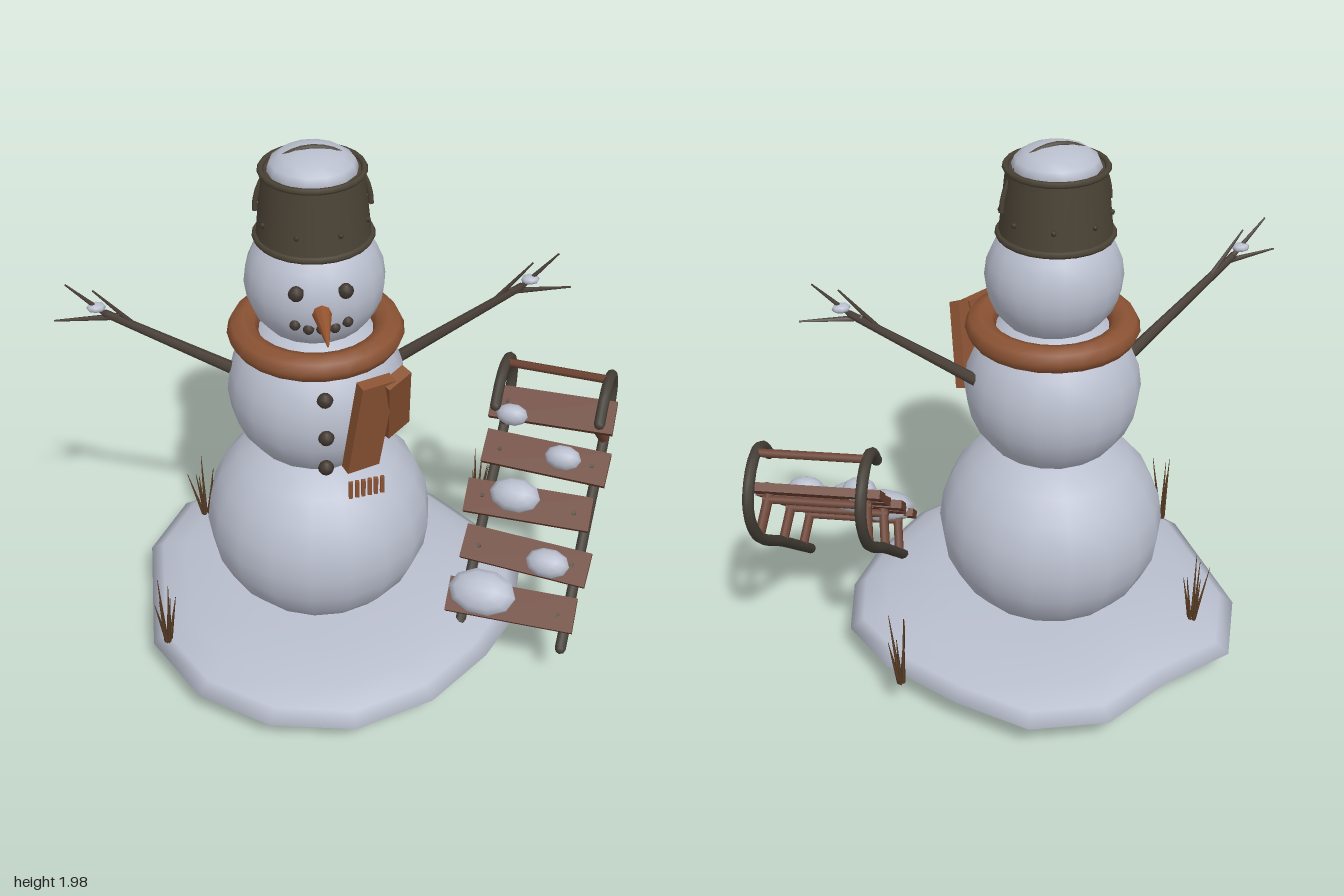
import * as THREE from 'three';

const mat = (name, color) => Object.assign(new THREE.MeshStandardMaterial({ color }), { name });
const V = (x, y, z) => new THREE.Vector3(x, y, z);
const CX = -0.13, CZ = -0.02; // axis of the figure

export function createModel() {
  const root = new THREE.Group();
  root.name = 'snowman';
  const snow = mat('snow', 0xb9becd), iron = mat('bucketIron', 0x4a4235), scarfCloth = mat('scarfCloth', 0x8a5233);
  const wood = mat('plankWood', 0x6a4030), bark = mat('bark', 0x4a4038), coal = mat('coal', 0x40362f);
  const carrot = mat('carrot', 0x96542f), dryGrass = mat('dryGrass', 0x5a3e26), runnerWood = mat('runner', 0x443e36);

  const add = (parent, name, geo, material, x = 0, y = 0, z = 0) => {
    const m = new THREE.Mesh(geo, material);
    m.name = name;
    m.position.set(x, y, z);
    parent.add(m);
    return m;
  };
  const ball = (parent, name, material, x, y, z, rx, ry = rx, rz = rx, w = 18, h = 12) => {
    const m = add(parent, name, new THREE.SphereGeometry(1, w, h), material, x, y, z);
    m.scale.set(rx, ry, rz);
    return m;
  };
  // tapered rod between two points
  const rod = (parent, name, material, a, b, ra, rb, sides = 6) => {
    const dir = b.clone().sub(a);
    const m = add(parent, name, new THREE.CylinderGeometry(rb, ra, dir.length(), sides), material);
    m.position.copy(a).add(b).multiplyScalar(0.5);
    m.quaternion.setFromUnitVectors(V(0, 1, 0), dir.normalize());
    return m;
  };

  // snow mound: one outline scaled into rings
  const outline = [[-.085, -.757], [.19, -.70], [.39, -.49], [.57, -.23], [.645, .02], [.57, .27], [.43, .45], [.2, .645],
    [-.085, .745], [-.38, .69], [-.62, .52], [-.775, .24], [-.775, -.30], [-.63, -.565], [-.34, -.64]];
  const rings = [[0.001, 0], [.4, .008], [.72, .045], [.93, .09], [1, .13], [.93, .165], [.8, .2], [.55, .232], [0.001, .24]];
  const n = outline.length, pos = [], idx = [];
  rings.forEach(([s, y], r) => outline.forEach(([x, z], i) => {
    pos.push(-.09 + (x + .09) * s, y, z * s);
    if (r < rings.length - 1) {
      const a = r * n + i, b = r * n + (i + 1) % n;
      idx.push(a, a + n, b, b, a + n, b + n);
    }
  }));
  const mound = new THREE.BufferGeometry();
  mound.setAttribute('position', new THREE.Float32BufferAttribute(pos, 3));
  mound.setIndex(idx);
  mound.computeVertexNormals();
  add(root, 'snowMound', mound, snow);

  // body
  ball(root, 'lowerBody', snow, CX, .5, CZ, .412, .385, .415);
  ball(root, 'middleBody', snow, CX, 1.07, CZ, .312, .305, .312);
  ball(root, 'head', snow, CX, 1.5, CZ, .238, .23, .23);

  // face and buttons
  const onHead = (name, x, y, r) => {
    const z = CZ + Math.sqrt(.23 ** 2 - (x - CX) ** 2 - (y - 1.5) ** 2);
    ball(root, name, coal, x, y, z, r, r, r * .8, 8, 6);
  };
  for (const s of [-1, 1]) onHead('eye', CX + s * .08, 1.56, .027);
  for (let i = -2; i <= 2; i++) onHead('mouthCoal', CX + i * .043, 1.428 + (Math.abs(i) === 2 ? .014 : 0), .019);
  rod(root, 'carrotNose', carrot, V(CX, 1.49, .17), V(CX, 1.485, .39), .038, .003, 8);
  for (const [y, z] of [[1.19, .265], [1.055, .292], [.915, .272]]) ball(root, 'button', coal, CX, y, z, .028, .028, .024, 8, 6);

  // scarf ring, two hanging tails and a fringe
  const scarf = add(root, 'scarfRing', new THREE.TorusGeometry(.25, .054, 8, 24), scarfCloth, CX, 1.305, -.013);
  scarf.rotation.x = Math.PI / 2;
  scarf.scale.z = .85;
  const tail = (x, y, z, w, h, rx, ry, rz) => {
    const t = add(root, 'scarfTail', new THREE.BoxGeometry(w, h, .042), scarfCloth, x, y, z);
    t.rotation.set(rx, ry, rz);
  };
  tail(.012, 1.095, .285, .125, .39, .2, .4, -.12);
  tail(.11, 1.14, .235, .1, .31, .35, .65, .07);
  for (let i = 0; i < 6; i++) add(root, 'scarfFringe', new THREE.BoxGeometry(.014, .065, .014), scarfCloth, -.053 + i * .022, .86, .335 - i * .004);

  // bucket hat with rims, rivets, handle and snow cap
  const hat = new THREE.Group();
  hat.name = 'bucketHat';
  hat.position.set(CX, 0, -.03);
  root.add(hat);
  add(hat, 'bucketBody', new THREE.CylinderGeometry(.167, .192, .235, 20), iron, 0, 1.775, 0);
  for (const [r, y, t] of [[.192, 1.662, .012], [.168, 1.893, .011]])
    add(hat, 'bucketRim', new THREE.TorusGeometry(r, t, 6, 24), iron, 0, y, 0).rotation.x = Math.PI / 2;
  for (let i = 0; i < 8; i++) {
    const a = (i + .5) * Math.PI / 4;
    ball(hat, 'rivet', coal, Math.sin(a) * .184, 1.735, Math.cos(a) * .184, .01, .01, .01, 6, 4);
  }
  ball(hat, 'snowCap', snow, 0, 1.895, 0, .15, .07, .15, 14, 8);
  const handle = add(hat, 'bucketHandle', new THREE.TorusGeometry(.19, .009, 6, 18, Math.PI), iron, 0, 1.755, 0);
  handle.scale.y = 1.11;

  // stick arms, mirrored about the body axis
  for (const s of [-1, 1]) {
    const arm = new THREE.Group();
    arm.name = s > 0 ? 'leftArm' : 'rightArm';
    root.add(arm);
    const P = (d, y, z) => V(CX + s * d, y, z);
    rod(arm, 'branch', bark, P(.24, 1.11, -.04), P(.7, 1.44, .03), .023, .013);
    rod(arm, 'twig', bark, P(.68, 1.42, .03), P(.815, 1.562, .04), .011, .003, 5);
    rod(arm, 'twig', bark, P(.66, 1.42, .025), P(.865, 1.432, .045), .012, .003, 5);
    rod(arm, 'twig', bark, P(.6, 1.37, .015), P(.73, 1.53, .035), .01, .003, 5);
    ball(arm, 'armSnow', snow, CX + s * .725, 1.465, .032, .032, .016, .026, 8, 6);
  }

  // leaning sled: local x across, y off the deck, -z up the slope
  const c = V(.902, 0, .42).normalize(), nrm = c.clone().cross(V(.3, .64, -.7)).normalize();
  const sled = new THREE.Group();
  sled.name = 'sled';
  sled.quaternion.setFromRotationMatrix(new THREE.Matrix4().makeBasis(c, nrm, c.clone().cross(nrm)));
  sled.position.set(.52, .175, .415);
  root.add(sled);
  const runnerPath = [[0, 0], [0, .45], [0, .84], [.075, .98], [.18, 1], [.268, .955], [.3, .87], [.286, .78]];
  for (const s of [-1, 1]) {
    const curve = new THREE.CatmullRomCurve3(runnerPath.map(([y, z]) => V(s * .19, y, -z)));
    add(sled, 'runner', new THREE.TubeGeometry(curve, 32, .02, 8), runnerWood);
    const end = runnerPath[runnerPath.length - 1];
    for (const [y, z] of [runnerPath[0], end]) ball(sled, 'runnerTip', runnerWood, s * .19, y, -z, .02, .02, .02, 8, 6);
    for (const z of [.14, .46, .8]) rod(sled, 'post', wood, V(s * .19, 0, -z), V(s * .17, .15, -z), .018, .018);
  }
  for (const z of [.14, .46, .8]) rod(sled, 'crossBeam', wood, V(-.19, .125, -z), V(.19, .125, -z), .016, .016);
  rod(sled, 'frontBar', wood, V(-.19, .268, -.955), V(.19, .268, -.955), .016, .016);
  [[0, .03], [.015, -.04], [-.015, .03], [.012, -.02], [0, .03]].forEach(([x, turn], i) => {
    const z = -(.1 + i * .184);
    const plank = add(sled, 'plank', new THREE.BoxGeometry(.46, .03, .125), wood, x, .158, z);
    plank.rotation.y = turn;
    for (const s of [-1, 1]) add(sled, 'nail', new THREE.CylinderGeometry(.008, .008, .008, 6), iron, x + s * .17, .176, z);
  });
  for (const [x, z, r] of [[-.107, .12, .125], [.1, .27, .08], [-.066, .49, .095], [.076, .66, .068], [-.14, .785, .06]])
    ball(sled, 'sledSnow', snow, x, .178, -z, r, .028 + r * .3, r * .68, 10, 7);

  // dry grass tufts
  for (const [x, y, z] of [[-.72, .16, .26], [-.55, .18, -.41], [.55, .16, -.36]])
    for (let i = 0; i < 6; i++) {
      const a = i * 2.4 + x * 5, lean = .02 + (i % 3) * .022, h = .2 + (i % 4) * .03;
      rod(root, 'grassBlade', dryGrass, V(x + Math.cos(a) * .008, y, z + Math.sin(a) * .008),
        V(x + Math.cos(a) * lean, y + h, z + Math.sin(a) * lean), .008, .001, 4);
    }
  return root;
}
